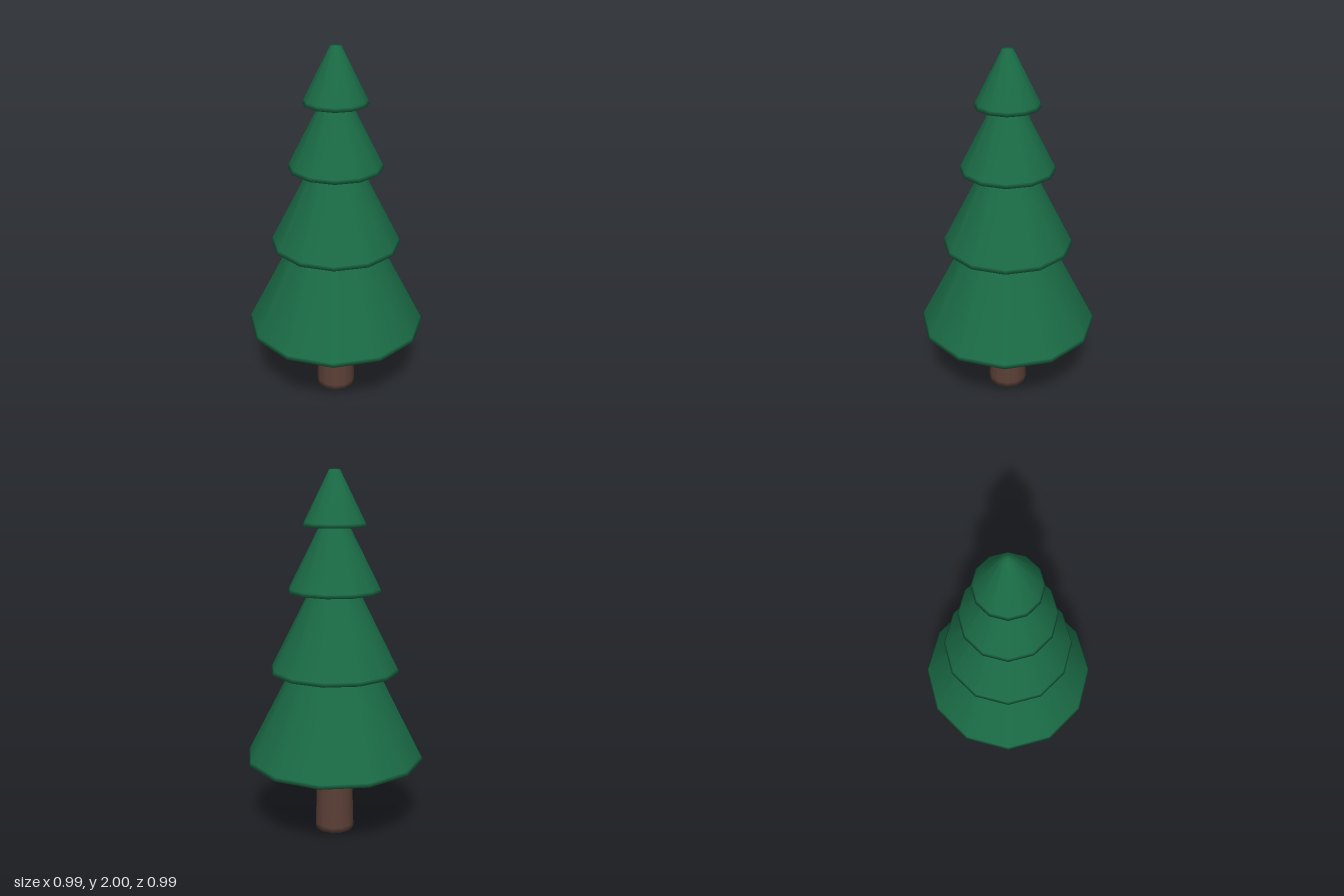
import * as THREE from 'three';

const SIDES = 12;

// Smooth-shaded solid of revolution from [radius, height] pairs, bottom to top
function turned(name, profile, material) {
  const points = profile.map(([r, y]) => new THREE.Vector2(r, y));
  const mesh = new THREE.Mesh(new THREE.LatheGeometry(points, SIDES), material);
  mesh.name = name;
  return mesh;
}

export function createModel() {
  const tree = new THREE.Group();
  tree.name = 'pineTree';
  const bark = new THREE.MeshStandardMaterial({ color: 0x5a3f36 });
  const needles = new THREE.MeshStandardMaterial({ color: 0x1a6a45 });

  // Tapered trunk, with a tight loop near the foot
  tree.add(turned('trunk', [[0, 0], [0.11, 0], [0.109, 0.03], [0.097, 0.45]], bark));

  // Branch tiers: rim radius, rim height, top radius, top height
  const tiers = [
    [0.495, 0.435, 0.24, 0.93],
    [0.355, 0.93, 0.135, 1.365],
    [0.255, 1.365, 0.08, 1.71],
    [0.173, 1.71, 0.028, 2],
  ];
  tiers.forEach(([r0, y0, r1, y1], i) => {
    const loop = 0.01 / (r0 - r1); // tight loop just above the rim
    const profile = [
      [0, y0],
      [r0, y0],
      [r0 + (r1 - r0) * loop, y0 + (y1 - y0) * loop],
      [r1, y1],
    ];
    // Close the tip of the tree
    if (i === tiers.length - 1) profile.push([0, y1]);
    tree.add(turned(`branchTier${i + 1}`, profile, needles));
  });

  return tree;
}
